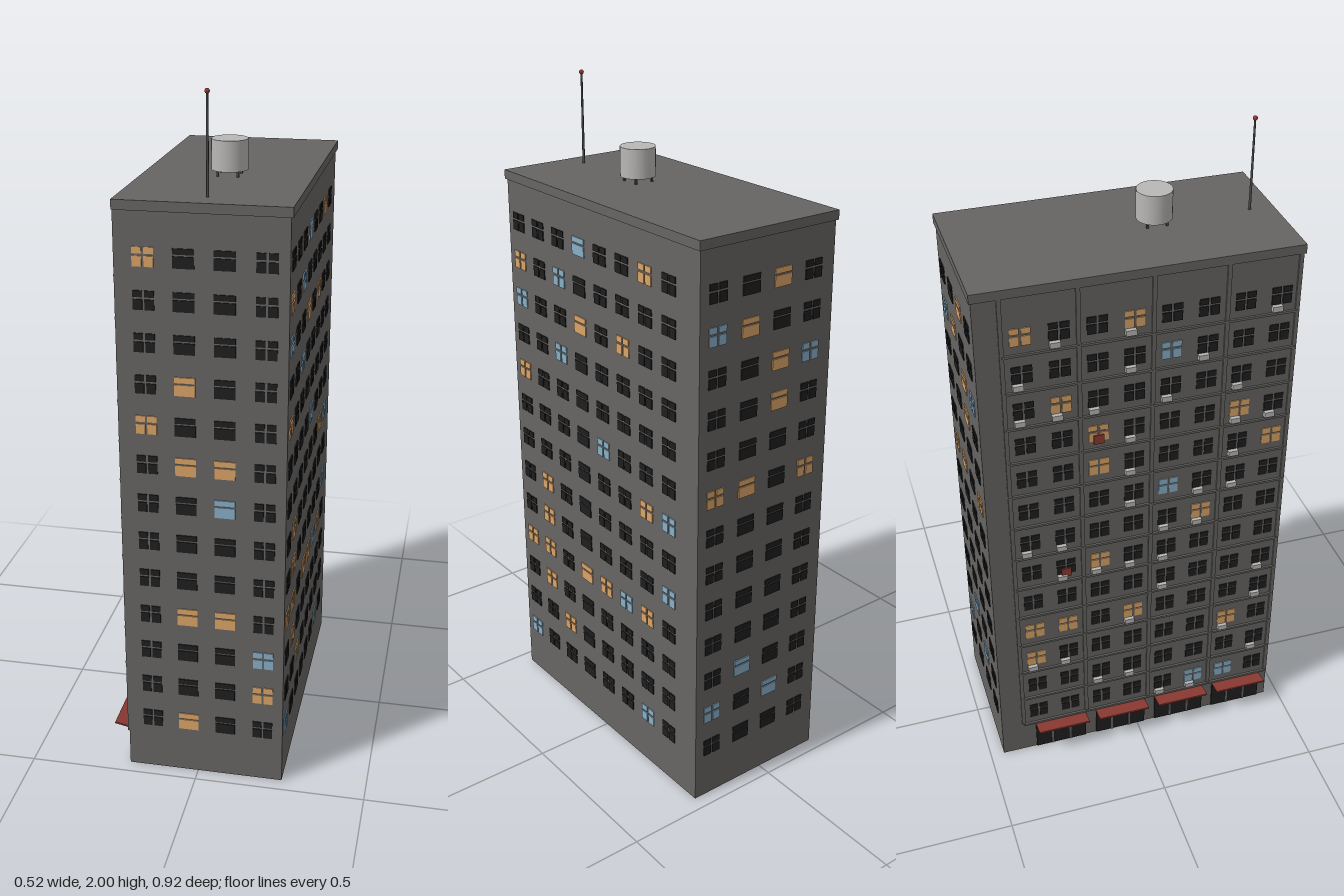
import * as THREE from 'three';
import { mergeGeometries } from 'three/addons/utils/BufferGeometryUtils.js';

const material = (name, color) => {
  const m = new THREE.MeshStandardMaterial({ color });
  m.name = name;
  return m;
};

export function createModel() {
  const concrete = material('concrete', 0x666563);
  const dark = material('darkGlass', 0x1e1e20);
  const amber = material('amberGlass', 0xd9a468);
  const blue = material('blueGlass', 0x88aec6);
  const red = material('awningRed', 0x8c3a33);
  const pale = material('paleMetal', 0xb9b8b6);
  const steel = material('darkSteel', 0x4a4a4a);

  const model = new THREE.Group();
  model.name = 'apartmentTower';
  const add = (parent, name, geometry, mat, x = 0, y = 0, z = 0) => {
    const mesh = new THREE.Mesh(geometry, mat);
    mesh.name = name;
    mesh.position.set(x, y, z);
    parent.add(mesh);
    return mesh;
  };
  const box = (w, h, d, x, y, z) => new THREE.BoxGeometry(w, h, d).translate(x, y, z);
  let seed = 11;
  const random = () => (seed = (seed * 16807) % 2147483647) / 2147483647;

  // Tower body and cornice
  const left = -0.209, right = 0.252, depth = 0.457, midX = (left + right) / 2;
  add(model, 'towerBody', new THREE.BoxGeometry(right - left, 1.7, depth * 2), concrete, midX, 0.85, 0);
  add(model, 'roofCornice', new THREE.BoxGeometry(right - left + 0.012, 0.027, depth * 2 + 0.01), concrete, midX, 1.7115, 0);

  // Window walls: '.' dark, 'o' amber, 'b' blue; rows run from the top floor down
  const rowY = (r) => 1.577 - r * 0.1173;
  const windowPanes = (x, y, stacked) => {
    if (stacked) return [box(0.058, 0.016, 0.004, x, y + 0.0185, 0.001), box(0.058, 0.032, 0.004, x, y - 0.0105, 0.001)];
    const panes = [];
    for (const sx of [-1, 1]) {
      panes.push(box(0.026, 0.018, 0.004, x + sx * 0.016, y + 0.0175, 0.001));
      panes.push(box(0.026, 0.029, 0.004, x + sx * 0.016, y - 0.012, 0.001));
    }
    return panes;
  };
  const facade = (name, position, turn, columns, stackedColumns, rows) => {
    const group = new THREE.Group();
    group.name = name;
    group.position.set(...position);
    group.rotation.y = turn;
    const panes = { '.': [], o: [], b: [] };
    rows.forEach((row, r) => columns.forEach((x, c) => {
      panes[row[c]].push(...windowPanes(x, rowY(r), stackedColumns.includes(c)));
    }));
    const kinds = { '.': ['darkWindows', dark], o: ['amberWindows', amber], b: ['blueWindows', blue] };
    for (const [key, [label, mat]] of Object.entries(kinds)) {
      if (panes[key].length) add(group, label, mergeGeometries(panes[key]), mat);
    }
    model.add(group);
    return group;
  };

  const shortColumns = [-0.135, -0.027, 0.082, 0.193];
  facade('frontWindows', [0, 0, depth], 0, shortColumns, [1, 2], [
    'o...', '....', '....', '.o..', 'o...', '.oo.', '..b.',
    '....', '....', '.oo.', '...b', '...o', '.o..']);
  facade('backWindows', [0, 0, -depth], Math.PI, shortColumns.map((x) => -x).reverse(), [1, 2], [
    '..o.', 'bo..', '..ob', '..o.', '....', 'oo.o', '....',
    '....', '....', '....', '.b..', 'b.b.', '....']);
  const longColumns = Array.from({ length: 8 }, (_, i) => -0.402 + i * 0.1045);
  facade('leftSideWindows', [right, 0, 0], Math.PI / 2, longColumns, [3], [
    '...b..o.', 'o.b.....', 'b..o.o..', '..b.....', 'o.......', '....b...', '......ob',
    '.o......', '.o.....b', 'oo.oobo.'.replace('oobo', 'oobo'), '.o......', '..o.....', 'b.....b.']);

  // Street side: seeded lit windows
  const streetColumns = Array.from({ length: 8 }, (_, i) => -0.333 + i * 0.105);
  const streetRows = Array.from({ length: 13 }, () => streetColumns.map(() => {
    const v = random();
    return v < 0.13 ? 'o' : v < 0.17 ? 'b' : '.';
  }).join(''));
  const street = facade('streetWindows', [left, 0, 0], -Math.PI / 2, streetColumns, [], streetRows);

  // Street side: pilasters, floor ledges, cooling units and hung cloths
  const ribs = [], units = [], cloths = [];
  for (const x of [-0.385, -0.175, 0.035, 0.245, 0.45]) ribs.push(box(0.012, 1.58, 0.006, x, 0.91, 0.002));
  for (let r = 0; r < 13; r++) {
    ribs.push(box(0.84, 0.007, 0.007, 0.035, rowY(r) - 0.055, 0.003));
    for (const x of streetColumns) {
      if (random() < 0.4) units.push(box(0.03, 0.017, 0.013, x - 0.013, rowY(r) - 0.037, 0.006));
    }
  }
  cloths.push(box(0.03, 0.03, 0.005, streetColumns[2], rowY(3) - 0.02, 0.004));
  cloths.push(box(0.03, 0.03, 0.005, streetColumns[1], rowY(7) - 0.02, 0.004));
  add(street, 'pilastersAndLedges', mergeGeometries(ribs), concrete);
  add(street, 'coolingUnits', mergeGeometries(units), pale);
  add(street, 'hungCloths', mergeGeometries(cloths), red);

  // Shopfronts with awnings tilted up toward the street
  for (let i = 0; i < 4; i++) {
    const x = -0.262 + i * 0.2025;
    add(street, 'shopfront', new THREE.BoxGeometry(0.167, 0.095, 0.006), dark, x, 0.05, 0.002);
    for (const s of [-0.03, 0.03]) add(street, 'shopDoorPost', new THREE.BoxGeometry(0.006, 0.095, 0.003), concrete, x + s, 0.05, 0.0055);
    const awning = add(street, 'awning', new THREE.BoxGeometry(0.168, 0.005, 0.055), red, x, 0.109, 0.026);
    awning.rotation.x = -0.2;
  }

  // Rooftop water tank on short legs
  const tankX = 0.027, tankZ = 0.11;
  add(model, 'waterTank', new THREE.CylinderGeometry(0.051, 0.051, 0.085, 32), pale, tankX, 1.784, tankZ);
  for (const sx of [-1, 1]) for (const sz of [-1, 1]) {
    add(model, 'tankLeg', new THREE.BoxGeometry(0.006, 0.02, 0.006), steel, tankX + sx * 0.028, 1.733, tankZ + sz * 0.028);
  }

  // Rooftop mast with warning lamp
  add(model, 'mast', new THREE.CylinderGeometry(0.003, 0.004, 0.27, 8), steel, 0.024, 1.859, 0.39);
  add(model, 'warningLamp', new THREE.SphereGeometry(0.007, 12, 8), red, 0.024, 1.993, 0.39);
  return model;
}
